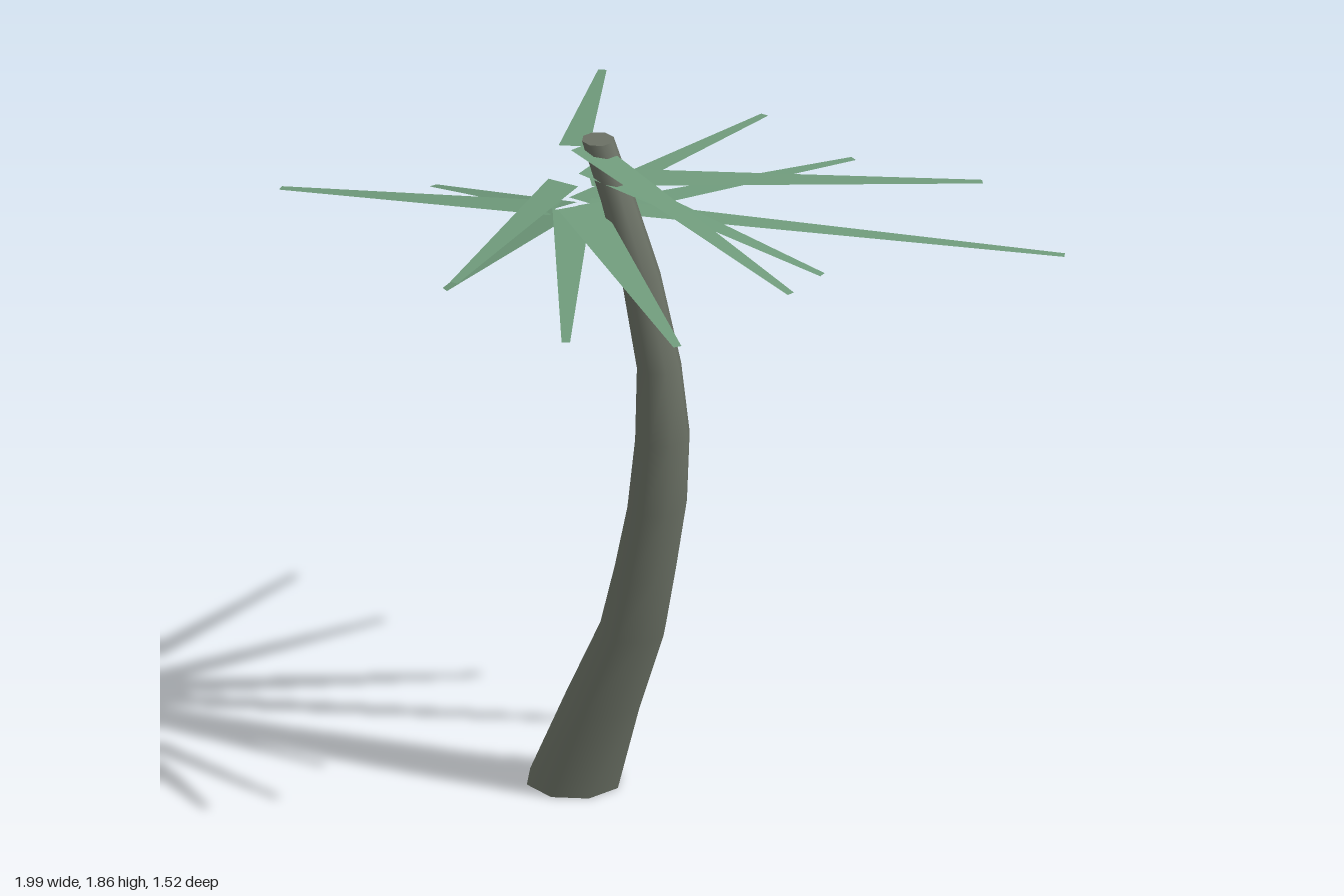
import * as THREE from 'three';

const barkMaterial = new THREE.MeshStandardMaterial({ color: 0x6a7064 });
const leafMaterial = new THREE.MeshStandardMaterial({ color: 0x6f9a7b, side: THREE.DoubleSide });
barkMaterial.name = 'bark';
leafMaterial.name = 'leaf';

// Trunk rings from the ground up: y, centre x, centre z, radius
const RINGS = [
  [0, -0.195, 0.125, 0.128], [0.25, -0.105, 0.137, 0.107], [0.475, -0.018, 0.14, 0.092],
  [0.65, 0.02, 0.143, 0.086], [0.85, 0.055, 0.139, 0.081], [1.05, 0.07, 0.138, 0.074],
  [1.25, 0.06, 0.138, 0.06], [1.5, 0.008, 0.141, 0.053], [1.7, -0.058, 0.14, 0.046],
  [1.86, -0.118, 0.139, 0.043],
];

// Leaves: tip x, tip y, tip z, base y, base width
const LEAVES = [
  [-0.1, 1.55, -0.76, 1.645, 0.08], [0.225, 1.55, -0.635, 1.62, 0.09],
  [0.69, 1.66, -0.465, 1.73, 0.11], [0.99, 1.565, -0.35, 1.655, 0.08],
  [0.57, 1.65, 0.2, 1.77, 0.08], [0.595, 1.697, 0.425, 1.84, 0.09],
  [0.345, 1.555, 0.58, 1.67, 0.12], [0.11, 1.59, 0.755, 1.66, 0.1],
  [-0.23, 1.675, 0.73, 1.735, 0.09], [-0.4, 1.5, 0.455, 1.64, 0.09],
  [-0.995, 1.565, 0.235, 1.635, 0.09], [-0.765, 1.447, -0.178, 1.63, 0.09],
  [-0.467, 1.685, -0.555, 1.8, 0.08],
];
const CROWN = new THREE.Vector3(-0.195, 0, 0.135);

// Bent, tapering trunk: a cylinder whose rings follow the table
function makeTrunk() {
  const n = RINGS.length - 1;
  const geometry = new THREE.CylinderGeometry(1, 1, 1, 8, n);
  const p = geometry.attributes.position;
  for (let i = 0; i < p.count; i++) {
    const [y, cx, cz, r] = RINGS[Math.round((p.getY(i) + 0.5) * n)];
    p.setXYZ(i, cx + p.getX(i) * r, y, cz + p.getZ(i) * r);
  }
  geometry.computeVertexNormals();
  // Share the normals along the side seam
  const nor = geometry.attributes.normal;
  const a = new THREE.Vector3(), b = new THREE.Vector3();
  for (let row = 0; row <= n; row++) {
    const first = row * 9, last = first + 8;
    a.fromBufferAttribute(nor, first).add(b.fromBufferAttribute(nor, last)).normalize();
    nor.setXYZ(first, a.x, a.y, a.z);
    nor.setXYZ(last, a.x, a.y, a.z);
  }
  const trunk = new THREE.Mesh(geometry, barkMaterial);
  trunk.name = 'trunk';
  return trunk;
}

// Flat blade, broad at the crown and narrow at the tip
function makeLeaf([x, y, z, baseY, width]) {
  const tip = new THREE.Vector3(x, y, z);
  const out = new THREE.Vector3(x - CROWN.x, 0, z - CROWN.z).normalize();
  const side = new THREE.Vector3(out.z, 0, -out.x);
  const base = CROWN.clone().addScaledVector(out, 0.045).setY(baseY);
  const corners = [
    base.clone().addScaledVector(side, -width / 2), tip.clone().addScaledVector(side, -0.011),
    tip.clone().addScaledVector(side, 0.011), base.clone().addScaledVector(side, width / 2),
  ];
  const geometry = new THREE.BufferGeometry().setFromPoints(corners);
  geometry.setIndex([0, 1, 2, 0, 2, 3]);
  geometry.computeVertexNormals();
  const leaf = new THREE.Mesh(geometry, leafMaterial);
  leaf.name = 'leaf';
  return leaf;
}

export function createModel() {
  const tree = new THREE.Group();
  tree.name = 'palmTree';
  const crown = new THREE.Group();
  crown.name = 'leafCrown';
  for (const row of LEAVES) crown.add(makeLeaf(row));
  tree.add(makeTrunk(), crown);
  return tree;
}
